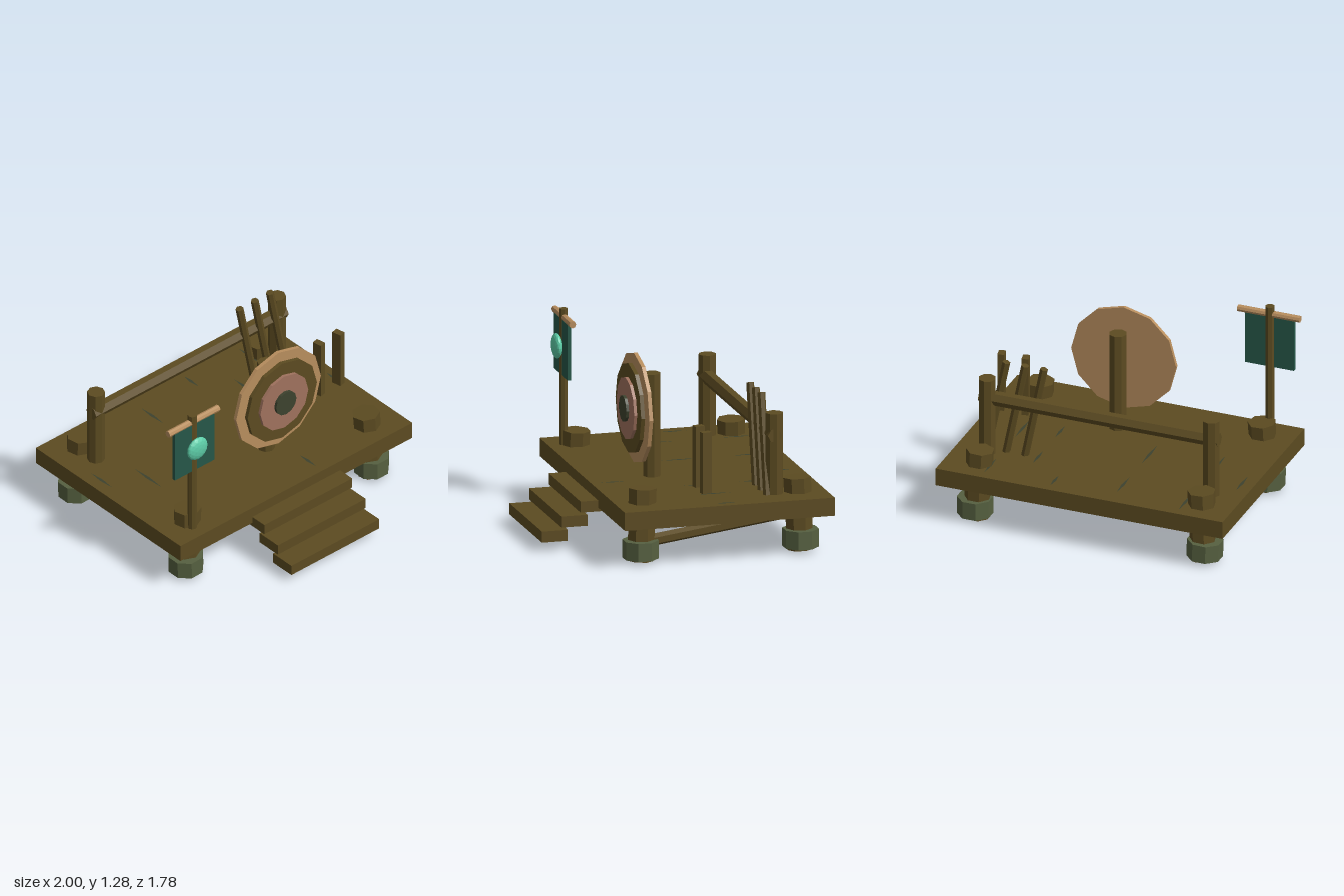
import * as THREE from 'three';

const mat = (name, color) => {
  const m = new THREE.MeshStandardMaterial({ color, flatShading: true });
  m.name = name;
  return m;
};

export function createModel() {
  const group = new THREE.Group();
  const wood = mat('darkWood', 0x5c4b21);
  const tan = mat('paleWood', 0xb88e5e);
  const clay = mat('clayPink', 0xa0725e);
  const moss = mat('mossDark', 0x3d422e);
  const stone = mat('mossyStone', 0x566040);
  const cloth = mat('tealCloth', 0x265748);
  const jade = mat('jade', 0x5ccba6);

  const add = (name, geo, material, x, y, z) => {
    const m = new THREE.Mesh(geo, material);
    m.name = name;
    m.position.set(x, y, z);
    group.add(m);
    return m;
  };
  const box = (name, material, x0, x1, y0, y1, z0, z1) =>
    add(name, new THREE.BoxGeometry(x1 - x0, y1 - y0, z1 - z0), material,
      (x0 + x1) / 2, (y0 + y1) / 2, (z0 + z1) / 2);
  // Round timber running between two points
  const pole = (name, material, a, b, r, sides, rTop = r) => {
    const p = new THREE.Vector3(...a), q = new THREE.Vector3(...b);
    const d = q.clone().sub(p);
    const m = add(name, new THREE.CylinderGeometry(rTop, r, d.length(), sides), material,
      (p.x + q.x) / 2, (p.y + q.y) / 2, (p.z + q.z) / 2);
    m.quaternion.setFromUnitVectors(new THREE.Vector3(0, 1, 0), d.normalize());
    return m;
  };

  // Platform, with thin moss streaks along the board seams
  box('deck', wood, -0.985, 1.0, 0.265, 0.385, -0.89, 0.51);
  const streaks = [[-0.9, -0.35, 0.2], [-0.66, -0.72, 0.24], [-0.66, -0.17, 0.26], [-0.2, -0.65, 0.22],
    [-0.2, -0.2, 0.26], [0.23, -0.76, 0.14], [0.23, 0.37, 0.16], [0.45, -0.5, 0.18],
    [0.45, -0.12, 0.16], [0.69, -0.72, 0.2], [0.69, -0.17, 0.24], [0.94, -0.18, 0.14]];
  for (const [x, z, len] of streaks) {
    const s = new THREE.Shape([[0, -len / 2], [0.011, 0], [0, len / 2], [-0.011, 0]]
      .map(([u, v]) => new THREE.Vector2(u, v)));
    add('mossStreak', new THREE.ShapeGeometry(s), moss, x, 0.387, z).rotation.x = -Math.PI / 2;
  }

  // Leaning legs with stone collars, and a brace along each side
  for (const side of [-1, 1]) {
    for (const z of [0.325, -0.705]) {
      pole('leg', wood, [side * 0.785, 0.005, z + (z > 0 ? 0.02 : -0.015)],
        [side * 0.765, 0.48, z], 0.085, 7, 0.092);
      add('footCollar', new THREE.CylinderGeometry(0.118, 0.118, 0.12, 8), stone,
        side * 0.795, 0.085, z + (z > 0 ? 0.022 : -0.015)).rotation.set(0, Math.PI / 8, -side * 0.02 + 0.02);
    }
    pole('sideBrace', wood, [side * 0.78, 0.125, 0.33], [side * 0.78, 0.262, -0.7], 0.04, 6);
  }

  // Front steps
  for (let i = 0; i < 3; i++) {
    const y = 0.24 - i * 0.09, z = 0.45 + i * 0.131;
    box('step', wood, -0.37, 0.382, y, y + 0.073, z, z + 0.177);
  }

  // Back railing
  pole('railPost', wood, [-0.77, 0.3, -0.55], [-0.77, 0.92, -0.55], 0.058, 8);
  pole('railPost', wood, [0.78, 0.3, -0.55], [0.78, 0.92, -0.55], 0.058, 8);
  pole('rail', wood, [-0.82, 0.778, -0.54], [0.83, 0.778, -0.54], 0.048, 6);

  // Staves leaning on the railing
  for (let i = 0; i < 3; i++) {
    const x = 0.41 + i * 0.13;
    pole('leaningStave', wood, [x + 0.135, 0.36, -0.495], [x, 1.03, -0.495], 0.026, 6);
  }

  // Short upright slats
  for (const [x, turn] of [[0.71, 0.2], [0.877, 0.2]]) {
    add('slat', new THREE.BoxGeometry(0.045, 0.405, 0.065), wood, x, 0.648, -0.065).rotation.y = turn;
  }

  // Target: post and stacked discs
  pole('targetPost', wood, [0.13, 0.145, 0.08], [0.13, 1.065, 0.08], 0.058, 8);
  const discs = [[0.363, 0.175, 0.2, tan], [0.297, 0.21, 0.236, wood],
    [0.205, 0.236, 0.256, clay], [0.087, 0.256, 0.275, moss]];
  for (const [r, z0, z1, m] of discs) {
    add('targetDisc', new THREE.CylinderGeometry(r, r, z1 - z0, 12), m, 0.13, 0.843, (z0 + z1) / 2)
      .rotation.x = Math.PI / 2;
  }

  // Banner on its pole
  pole('bannerPost', wood, [-0.79, 0.3, 0.405], [-0.79, 1.285, 0.405], 0.031, 8);
  pole('bannerRod', tan, [-1.0, 1.23, 0.405], [-0.57, 1.23, 0.405], 0.023, 8);
  box('bannerCloth', cloth, -0.957, -0.62, 0.85, 1.218, 0.4, 0.425);
  add('bannerEmblem', new THREE.IcosahedronGeometry(0.083, 2), jade, -0.79, 1.04, 0.453).scale.z = 0.38;

  return group;
}
